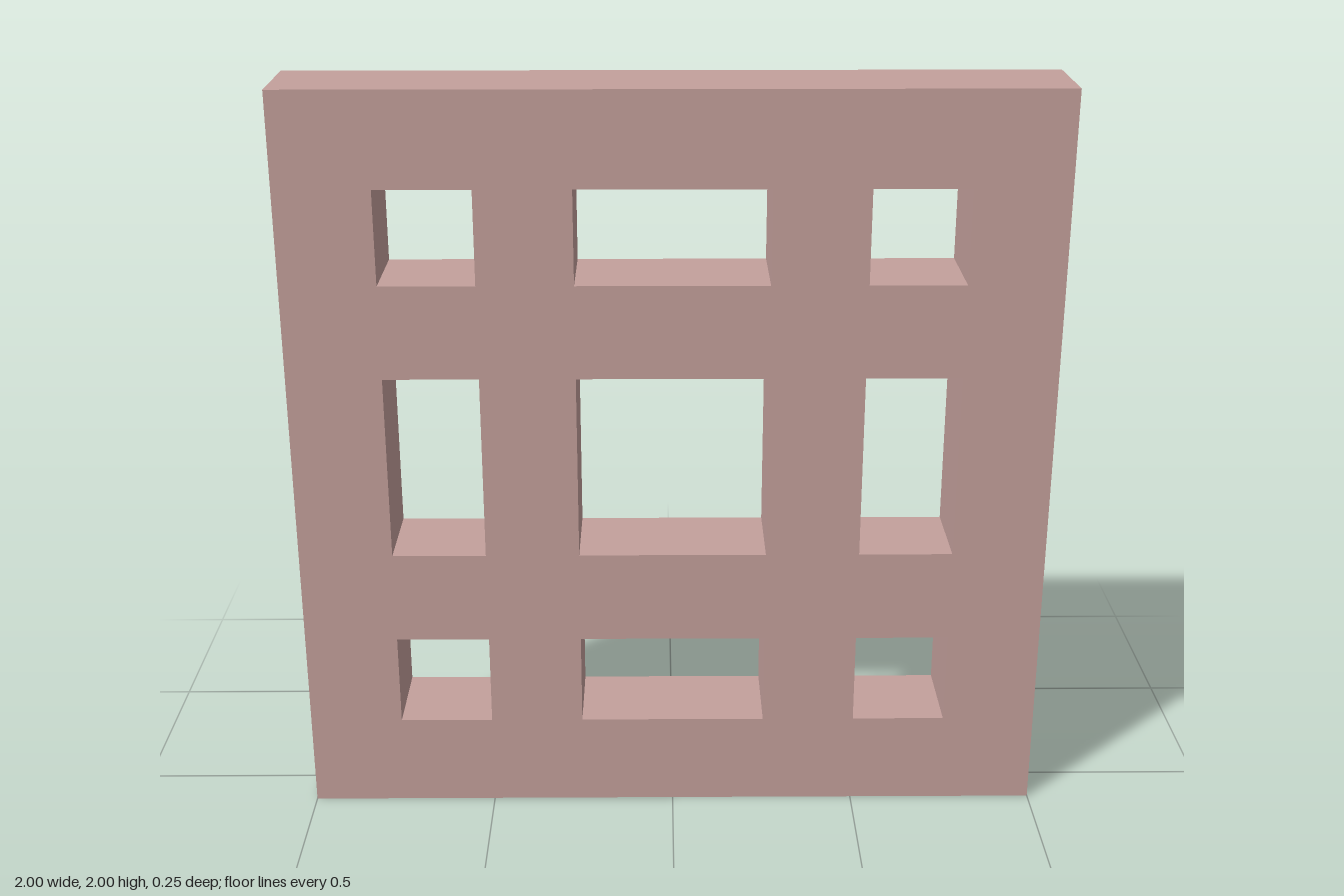
import * as THREE from 'three';

// Rectangle corners, counter-clockwise
function rectangle(x0, y0, x1, y1) {
  return [[x0, y0], [x1, y0], [x1, y1], [x0, y1]].map(([x, y]) => new THREE.Vector2(x, y));
}

export function createModel() {
  const model = new THREE.Group();
  model.name = 'latticePanel';

  const dustyRose = new THREE.MeshStandardMaterial({ color: 0xc4a09c });
  dustyRose.name = 'dustyRose';

  const depth = 0.25;
  // Openings span the same intervals across and up the panel
  const spans = [[-0.75, -0.5], [-0.25, 0.25], [0.5, 0.75]];

  // Square slab pierced by a three by three grid of openings
  const outline = new THREE.Shape(rectangle(-1, 0, 1, 2));
  for (const [x0, x1] of spans) {
    for (const [y0, y1] of spans) {
      outline.holes.push(new THREE.Path(rectangle(x0, y0 + 1, x1, y1 + 1).reverse()));
    }
  }

  const geometry = new THREE.ExtrudeGeometry(outline, { depth, bevelEnabled: false });
  geometry.translate(0, 0, -depth / 2);

  const panel = new THREE.Mesh(geometry, dustyRose);
  panel.name = 'panel';
  model.add(panel);

  return model;
}
